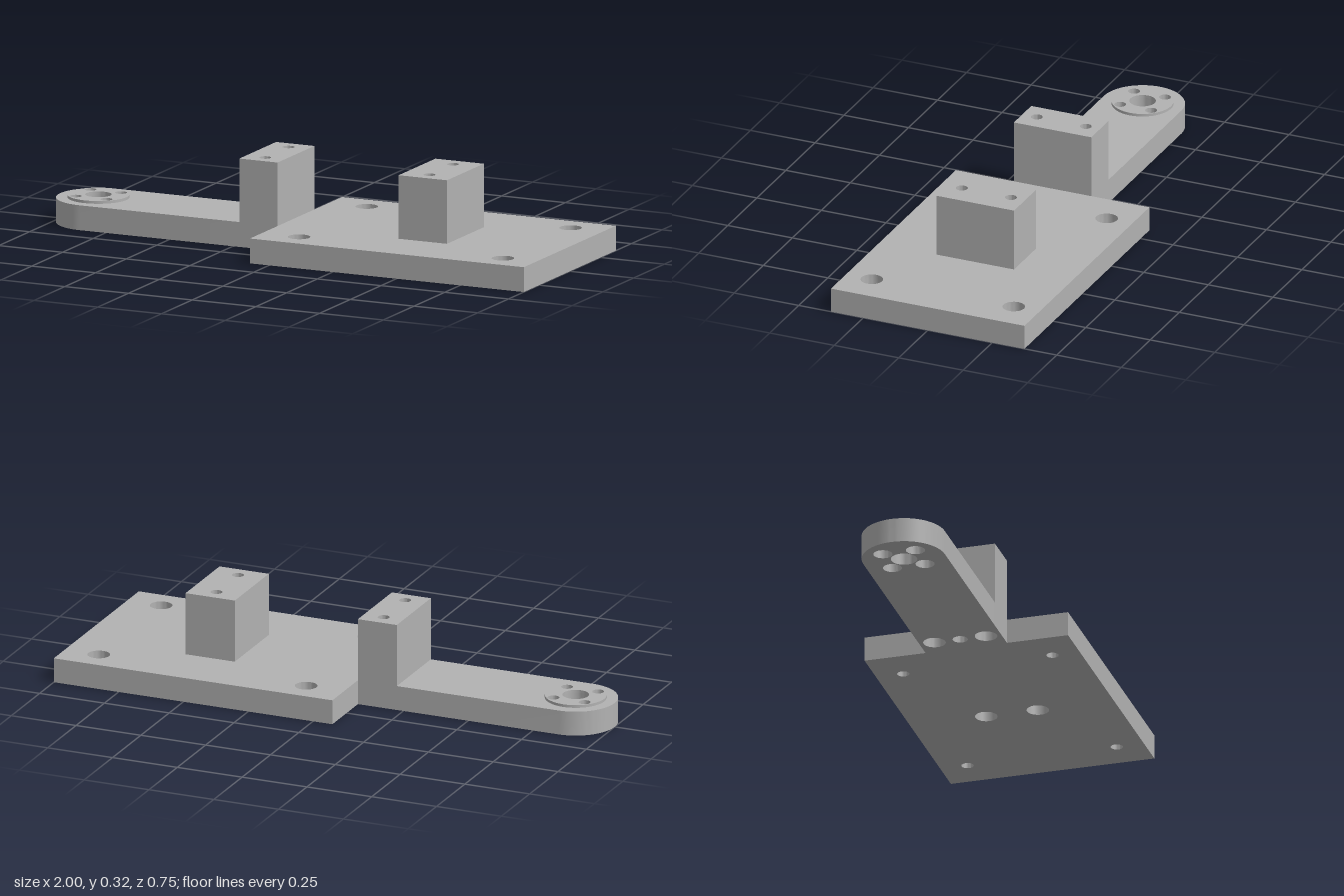
import * as THREE from 'three';
import { mergeGeometries, toCreasedNormals } from 'three/addons/utils/BufferGeometryUtils.js';

const circle = (x, z, r) => new THREE.Path().absarc(x, -z, r, 0, Math.PI * 2, true);

function rect(x0, x1, halfZ) {
  return new THREE.Shape([[x0, -halfZ], [x1, -halfZ], [x1, halfZ], [x0, halfZ]].map(p => new THREE.Vector2(...p)));
}

// Horizontal cap with round holes
function cap(points, holes, y, up) {
  const s = new THREE.Shape(points);
  for (const [x, z, r] of holes) if (r > 0) s.holes.push(circle(x, up ? z : -z, r));
  return new THREE.ShapeGeometry(s, 16).rotateX(up ? -Math.PI / 2 : Math.PI / 2).translate(0, y, 0);
}

// Upright prism with stepped bores: { x, z, low, high, step }
function solid(outline, y0, y1, bores) {
  const pts = outline.getPoints(24);
  const parts = [
    cap(pts, bores.map(b => [b.x, b.z, b.low]), y0, false),
    cap(pts, bores.map(b => [b.x, b.z, b.high]), y1, true),
  ];
  // outer walls
  const pos = [];
  pts.forEach((p, i) => {
    const q = pts[(i + 1) % pts.length];
    if (p.distanceTo(q) < 1e-6) return;
    const a = [p.x, y0, -p.y], b = [q.x, y0, -q.y], c = [q.x, y1, -q.y], d = [p.x, y1, -p.y];
    pos.push(...a, ...b, ...c, ...a, ...c, ...d);
  });
  parts.push(new THREE.BufferGeometry().setAttribute('position', new THREE.Float32BufferAttribute(pos, 3)));
  // bore walls, seen from inside
  for (const { x, z, low, high, step } of bores) {
    const path = [[high, y1], [high, step], [low, step], [low, y0]].map(p => new THREE.Vector2(...p));
    for (let i = 0; i < 3; i++) {
      const [p, q] = [path[i], path[i + 1]];
      if (p.distanceTo(q) < 1e-6 || p.x + q.x === 0) continue;
      parts.push(new THREE.LatheGeometry([p, q], 32).translate(x, 0, z));
    }
  }
  const clean = parts.map(g => {
    const n = g.index ? g.toNonIndexed() : g;
    n.deleteAttribute('normal');
    n.deleteAttribute('uv');
    return n;
  });
  return toCreasedNormals(mergeGeometries(clean), 0.5);
}

export function createModel() {
  const group = new THREE.Group();
  const grey = new THREE.MeshStandardMaterial({ color: 0xb2b2b2 });
  grey.name = 'grey';
  const add = (name, geometry) => {
    const mesh = new THREE.Mesh(geometry, grey);
    mesh.name = name;
    group.add(mesh);
  };
  const T = 0.09, H = 0.32, W = 0.15, endX = -0.85, postX = -0.15, blockX = 0.495;
  const pair = (x, dz, o) => [-dz, dz].map(z => ({ x, z, ...o }));

  // Base plate: countersunk corner screws and wide bores under the block
  add('basePlate', solid(rect(-0.075, 1, 0.375), 0, T, [
    ...pair(0.07, 0.275, { low: 0.022, high: 0.04, step: 0.045 }),
    ...pair(0.87, 0.275, { low: 0.022, high: 0.04, step: 0.045 }),
    ...pair(blockX, 0.095, { low: 0.04, high: 0.04, step: 0.045 }),
  ]));

  // Block standing on the plate
  add('block', solid(rect(0.4, 0.59, W), T, H,
    pair(blockX, 0.095, { low: 0.021, high: 0.021, step: 0.2 })));

  // Post joining arm and plate, with a blind hole underneath
  add('post', solid(rect(-0.225, -0.075, W), 0, H, [
    ...pair(postX, 0.095, { low: 0.04, high: 0.021, step: T }),
    { x: postX, z: 0, low: 0.027, high: 0, step: T },
  ]));

  // Arm with a rounded end
  const armShape = new THREE.Shape();
  armShape.moveTo(endX, -W);
  armShape.lineTo(-0.225, -W);
  armShape.lineTo(-0.225, W);
  armShape.lineTo(endX, W);
  armShape.absarc(endX, 0, W, Math.PI / 2, Math.PI * 1.5, false);
  const endBores = (low, step) => [
    { x: endX, z: 0, low: 0.047, high: 0.047, step },
    ...pair(endX - 0.06, 0.06, { low, high: 0.021, step }),
    ...pair(endX + 0.06, 0.06, { low, high: 0.021, step }),
  ];
  add('arm', solid(armShape, 0, T, endBores(0.034, 0.05)));

  // Thin round boss on the arm end
  const bossShape = new THREE.Shape().absarc(endX, 0, 0.11, 0, Math.PI * 2, false);
  add('boss', solid(bossShape, T, 0.1, endBores(0.021, 0.095)));

  return group;
}
